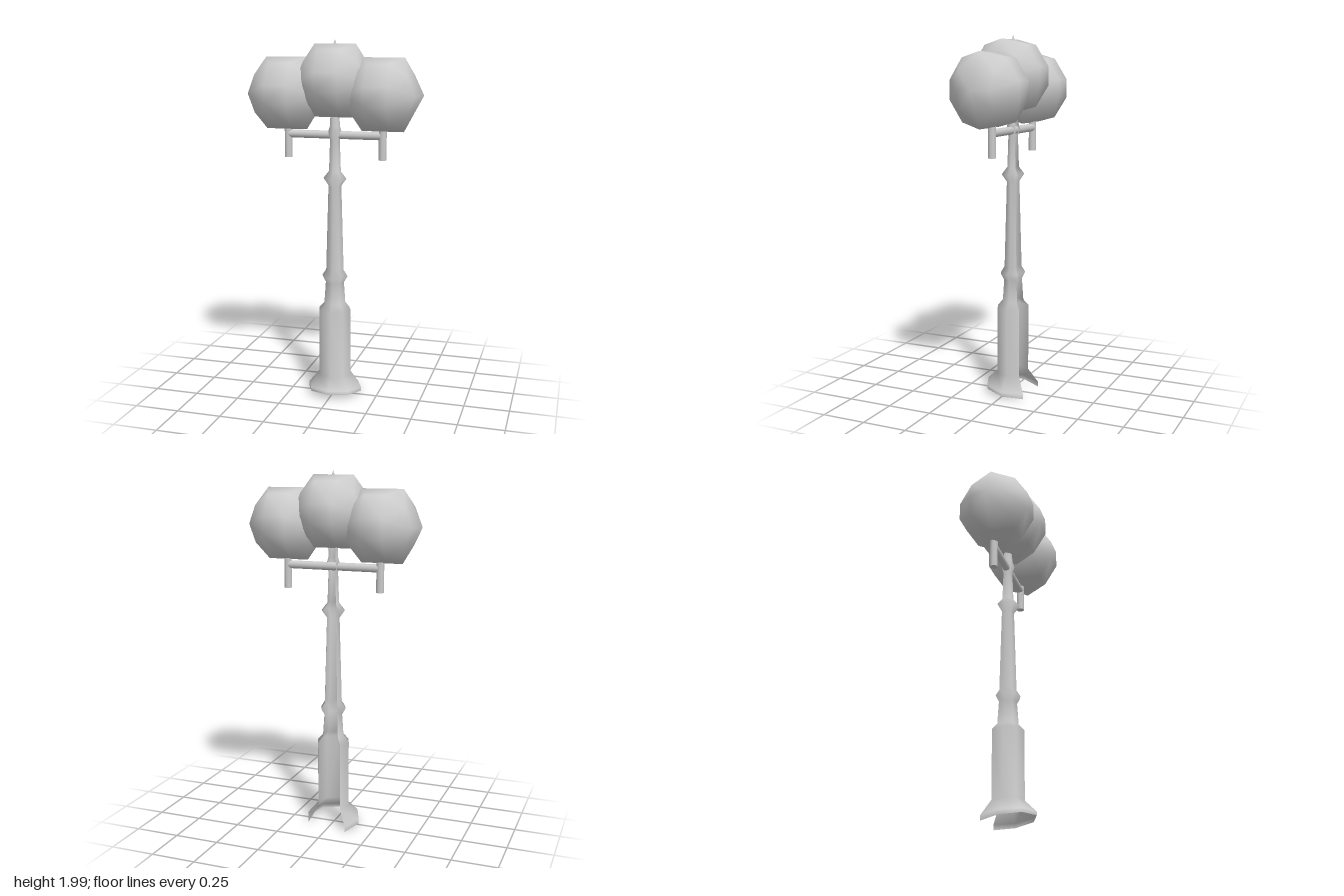
import * as THREE from 'three';
import { mergeVertices } from 'three/addons/utils/BufferGeometryUtils.js';
import { ConvexGeometry } from 'three/addons/geometries/ConvexGeometry.js';

const AXIS_Z = -0.015; // the post stands slightly behind the globes

// Coarse faceted ball with smooth normals, from mirrored corner points
function globeGeometry() {
  const octant = [
    [0.22, 0, 0], [0.19, 0, 0.095], [0.115, 0.195, 0],
    [0.06, 0.165, 0.125], [0.06, 0.05, 0.198], [0.15, 0.1, 0.1],
  ];
  const points = [];
  for (const [x, y, z] of octant)
    for (const sx of [1, -1])
      for (const sy of y ? [1, -1] : [1])
        for (const sz of z ? [1, -1] : [1])
          points.push(new THREE.Vector3(x * sx, y * sy, z * sz));
  let geometry = new ConvexGeometry(points);
  geometry.deleteAttribute('normal');
  geometry = mergeVertices(geometry, 1e-4);
  geometry.computeVertexNormals();
  return geometry;
}

// Octagonal post shell, open over a quarter turn at the back, with a slanted foot
function postGeometry() {
  const profile = [
    [0.155, 0.02], [0.155, 0.045], [0.093, 0.12], [0.093, 0.5], [0.062, 0.535],
    [0.053, 0.66], [0.073, 0.695], [0.051, 0.73], [0.037, 1.21], [0.066, 1.25],
    [0.034, 1.29], [0.028, 1.46], [0.04, 1.5], [0.028, 1.54], [0.025, 1.62],
  ].map(([r, y]) => new THREE.Vector2(r, y));
  const geometry = new THREE.LatheGeometry(profile, 6, -Math.PI * 0.75, Math.PI * 1.5);
  const p = geometry.attributes.position;
  for (let i = 0; i < p.count; i++) {
    const y = p.getY(i);
    if (y < 0.03) p.setY(i, y + p.getZ(i) * 0.13);
    else if (y < 0.06) p.setY(i, y + p.getZ(i) * 0.1);
  }
  geometry.computeVertexNormals();
  return geometry;
}

export function createModel() {
  const model = new THREE.Group();
  model.name = 'streetLamp';
  const grey = new THREE.MeshStandardMaterial({ color: 0xcccccc, side: THREE.DoubleSide });
  grey.name = 'lightGrey';

  const add = (name, geometry, x, y, z) => {
    const mesh = new THREE.Mesh(geometry, grey);
    mesh.name = name;
    mesh.position.set(x, y, z);
    model.add(mesh);
    return mesh;
  };

  add('post', postGeometry(), 0, 0, AXIS_Z);

  // Globes: one raised in the middle, one on each side
  const globe = globeGeometry();
  add('centreGlobe', globe, 0.005, 1.782, 0);
  for (const [side, s] of [['left', 1], ['right', -1]]) {
    add(side + 'Globe', globe, s * 0.27, 1.712, 0);
    add(side + 'Pendant', new THREE.CylinderGeometry(0.022, 0.022, 0.165, 8), s * 0.267, 1.4425, AXIS_Z);
  }

  // Crossbar and finial
  add('crossbar', new THREE.CylinderGeometry(0.022, 0.022, 0.52, 8), 0, 1.49, AXIS_Z).rotation.z = Math.PI / 2;
  add('finial', new THREE.ConeGeometry(0.014, 0.04, 6), 0, 1.98, AXIS_Z);
  return model;
}
